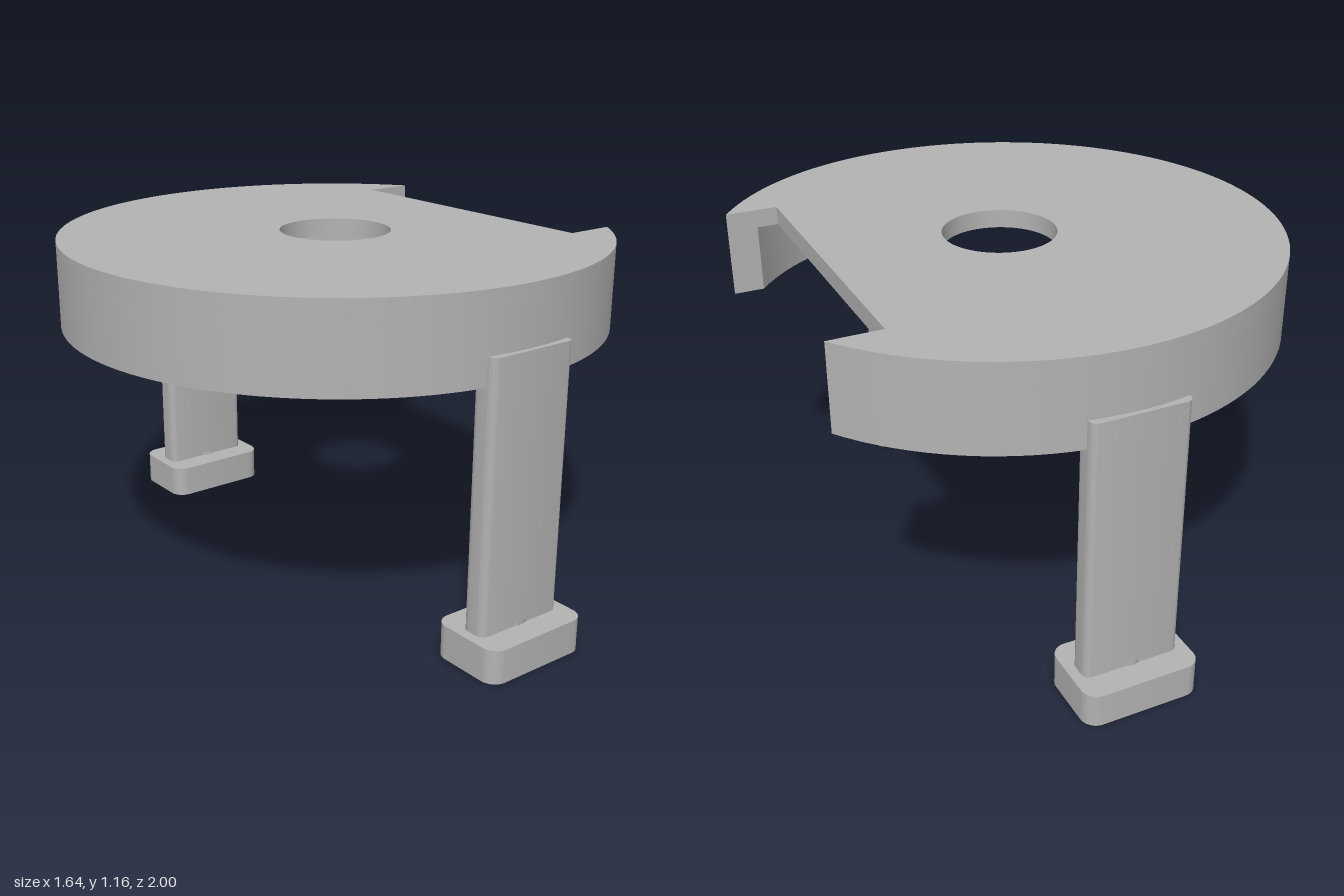
import * as THREE from 'three';
import { toCreasedNormals } from 'three/addons/utils/BufferGeometryUtils.js';

const CX = 0.077;     // axis of the disc and legs
const R = 0.9;        // disc radius
const RI = 0.82;      // inner radius of the rim
const NOTCH_X = 0.65 - CX;
const NOTCH_Z = 0.51;
const LEG_Z = 0.8725;
const BOLT_R = 0.048;

// Extrude a plan shape upwards from y0 to y1, with smooth curved walls
function slab(name, shape, y0, y1, material) {
  const g = new THREE.ExtrudeGeometry(shape, { depth: y1 - y0, bevelEnabled: false, curveSegments: 48 });
  g.rotateX(-Math.PI / 2);
  const mesh = new THREE.Mesh(toCreasedNormals(g, 0.5), material);
  mesh.position.y = y0;
  mesh.name = name;
  return mesh;
}

// Rectangle with rounded corners, centred on the origin
function roundedRect(w, d, r) {
  const s = new THREE.Shape();
  const x = w / 2 - r, y = d / 2 - r;
  s.absarc(x, y, r, 0, Math.PI / 2);
  s.absarc(-x, y, r, Math.PI / 2, Math.PI);
  s.absarc(-x, -y, r, Math.PI, Math.PI * 1.5);
  s.absarc(x, -y, r, Math.PI * 1.5, Math.PI * 2);
  s.closePath();
  return s;
}

function circleHole(r) {
  return new THREE.Path().absarc(0, 0, r, 0, Math.PI * 2, true);
}

export function createModel() {
  const model = new THREE.Group();
  model.name = 'discStand';
  const grey = new THREE.MeshStandardMaterial({ color: 0xb3b3b3 });
  grey.name = 'grey';

  // Top plate with a centre hole and a straight notch on the +x side
  const disc = new THREE.Group();
  disc.name = 'notchedDisc';
  const a = Math.asin(NOTCH_Z / R);
  const plate = new THREE.Shape();
  plate.absarc(0, 0, R, a, Math.PI * 2 - a);
  plate.lineTo(NOTCH_X, -NOTCH_Z);
  plate.lineTo(NOTCH_X, NOTCH_Z);
  plate.closePath();
  plate.holes.push(circleHole(0.182));
  disc.add(slab('topPlate', plate, 1.1, 1.16, grey));

  // Hanging C-shaped rim, ended flat by the notch
  const b = Math.asin(NOTCH_Z / RI);
  const rim = new THREE.Shape();
  rim.absarc(0, 0, R, a, Math.PI * 2 - a);
  rim.absarc(0, 0, RI, Math.PI * 2 - b, b, true);
  rim.closePath();
  disc.add(slab('rim', rim, 0.88, 1.1, grey));
  disc.position.x = CX;
  model.add(disc);

  // Leg and foot plans
  const legW = 0.316, legD = 0.085, legR = 0.025;
  const footShape = roundedRect(0.382, 0.255, 0.05);
  footShape.holes.push(circleHole(BOLT_R));
  const legShape = roundedRect(legW, legD, legR);

  // Half of the leg base, cut by the bolt hole that runs a little above the foot
  const half = new THREE.Shape();
  const c = Math.asin(legD / 2 / BOLT_R);
  half.absarc(legW / 2 - legR, -legD / 2 + legR, legR, -Math.PI / 2, 0);
  half.absarc(legW / 2 - legR, legD / 2 - legR, legR, 0, Math.PI / 2);
  half.absarc(0, 0, BOLT_R, c, -c, true);
  half.closePath();

  for (const side of [1, -1]) {
    const leg = new THREE.Group();
    leg.name = side > 0 ? 'frontLeg' : 'backLeg';
    leg.add(slab('foot', footShape, 0, 0.11, grey));
    leg.add(slab('post', legShape, 0.12, 0.97, grey));
    for (const turn of [0, Math.PI]) {
      const base = slab('postBase', half, 0.11, 0.12, grey);
      base.rotation.y = turn;
      leg.add(base);
    }
    leg.position.set(CX, 0, side * LEG_Z);
    model.add(leg);
  }
  return model;
}
